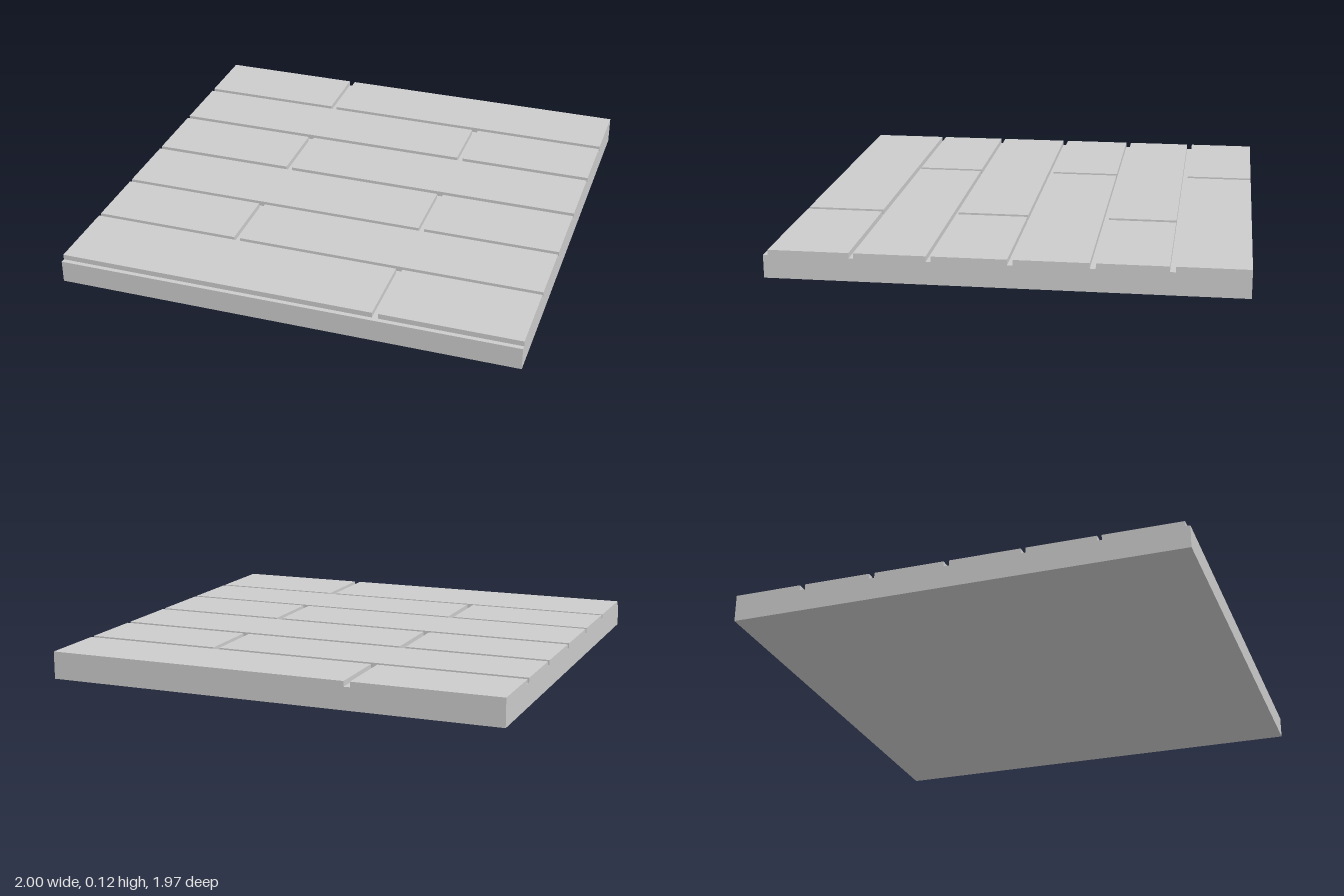
import * as THREE from 'three';

const HALF_X = 1, HALF_Z = 0.985;
const GROOVE_Y = 0.097, TOP_Y = 0.12;

// Back and front edge (z) of each plank row, from back to front
const ROWS = [
  [-HALF_Z, -0.687], [-0.663, -0.371], [-0.347, -0.04],
  [-0.017, 0.292], [0.312, 0.61], [0.629, 0.965],
];
// Joint between the two planks of a row (x), alternating row by row
const JOINTS = [[-0.362, -0.335], [0.376, 0.403]];

export function createModel() {
  const group = new THREE.Group();
  group.name = 'plankFloorTile';
  const material = new THREE.MeshStandardMaterial({ color: 0xcccccc, flatShading: true });

  const addBox = (name, x0, x1, y0, y1, z0, z1) => {
    const mesh = new THREE.Mesh(new THREE.BoxGeometry(x1 - x0, y1 - y0, z1 - z0), material);
    mesh.position.set((x0 + x1) / 2, (y0 + y1) / 2, (z0 + z1) / 2);
    mesh.name = name;
    group.add(mesh);
  };

  // Solid slab; its top is the floor of the grooves
  addBox('baseSlab', -HALF_X, HALF_X, 0, GROOVE_Y, -HALF_Z, HALF_Z);

  // Two raised planks per row with staggered joints
  ROWS.forEach(([z0, z1], i) => {
    const [j0, j1] = JOINTS[i % 2];
    addBox(`plankRight${i + 1}`, -HALF_X, j0, GROOVE_Y, TOP_Y, z0, z1);
    addBox(`plankLeft${i + 1}`, j1, HALF_X, GROOVE_Y, TOP_Y, z0, z1);
  });

  return group;
}
